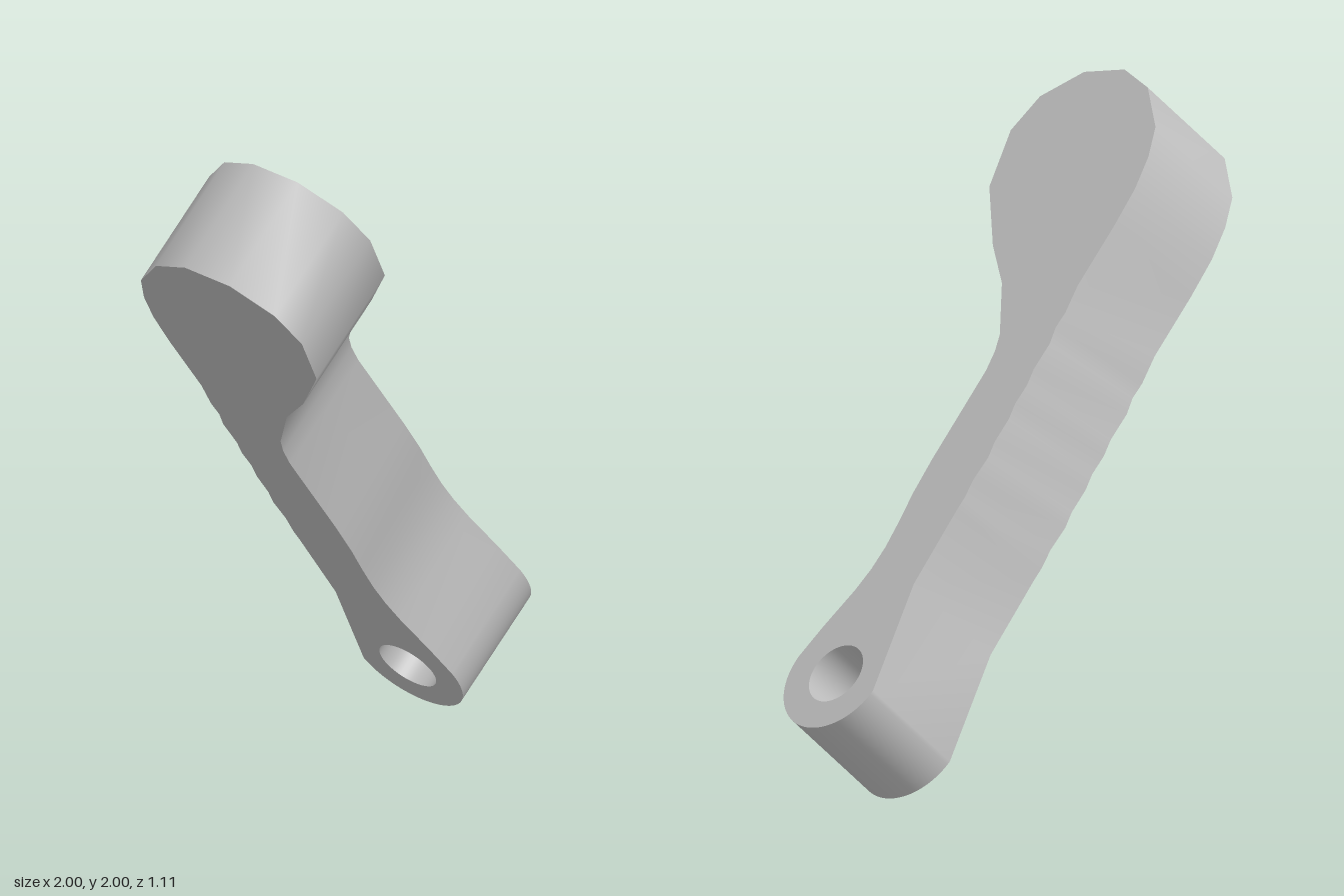
import * as THREE from 'three';
import { toCreasedNormals } from 'three/addons/utils/BufferGeometryUtils.js';

const S = Math.SQRT2;

// Points are (x, z) on the upper face of the tilted lever
const backEdge = [
  [0.59, -0.405],
  // finger grip ridges
  [0.39, -0.362], [0.36, -0.358], [0.31, -0.34], [0.25, -0.335], [0.21, -0.315], [0.15, -0.306],
  [0.11, -0.286], [0.06, -0.28], [0.02, -0.26], [-0.05, -0.25], [-0.09, -0.226], [-0.13, -0.222],
  [-0.2, -0.192],
  // rounded back of the head
  [-0.36, -0.165], [-0.46, -0.14], [-0.54, -0.1], [-0.61, -0.04],
];
const headEdge = [
  [-0.685, 0.11], [-0.7, 0.26], [-0.655, 0.42], [-0.56, 0.53], [-0.46, 0.55], [-0.32, 0.47],
];
const frontEdge = [
  [-0.2, 0.28], [-0.13, 0.13], [-0.02, -0.015], [0.02, -0.045], [0.07, -0.066], [0.31, -0.108],
  [0.4, -0.13], [0.47, -0.156], [0.54, -0.177], [0.6, -0.184], [0.66, -0.18], [0.77, -0.157],
];

export function createModel() {
  const model = new THREE.Group();
  const grey = new THREE.MeshStandardMaterial({ color: 0xc0c0c0 });
  grey.name = 'plain grey';

  // Outline with a round pivot end
  const cx = 0.855 * S, cy = 0.35, r = 0.205;
  const outline = new THREE.Shape();
  outline.moveTo(cx, cy - r);
  outline.absarc(cx, cy, r, -Math.PI / 2, Math.PI / 2, false);
  for (const [x, z] of [...backEdge, ...headEdge, ...frontEdge]) outline.lineTo(x * S, -z);
  outline.closePath();

  // Pivot hole
  const hole = new THREE.Path();
  hole.absarc(cx, cy, 0.106, 0, Math.PI * 2, true);
  outline.holes.push(hole);

  const solid = new THREE.ExtrudeGeometry(outline, {
    depth: 0.3 * S, bevelEnabled: false, curveSegments: 24,
  });
  const lever = new THREE.Mesh(toCreasedNormals(solid, 0.65), grey);
  lever.name = 'lever';

  // Lay the lever on a 45 degree slope, falling towards its left
  const tilt = new THREE.Matrix4().makeBasis(
    new THREE.Vector3(1, -1, 0).normalize(),
    new THREE.Vector3(0, 0, -1),
    new THREE.Vector3(1, 1, 0).normalize(),
  );
  lever.quaternion.setFromRotationMatrix(tilt);
  lever.position.set(-0.3, 1, 0);
  model.add(lever);
  return model;
}
